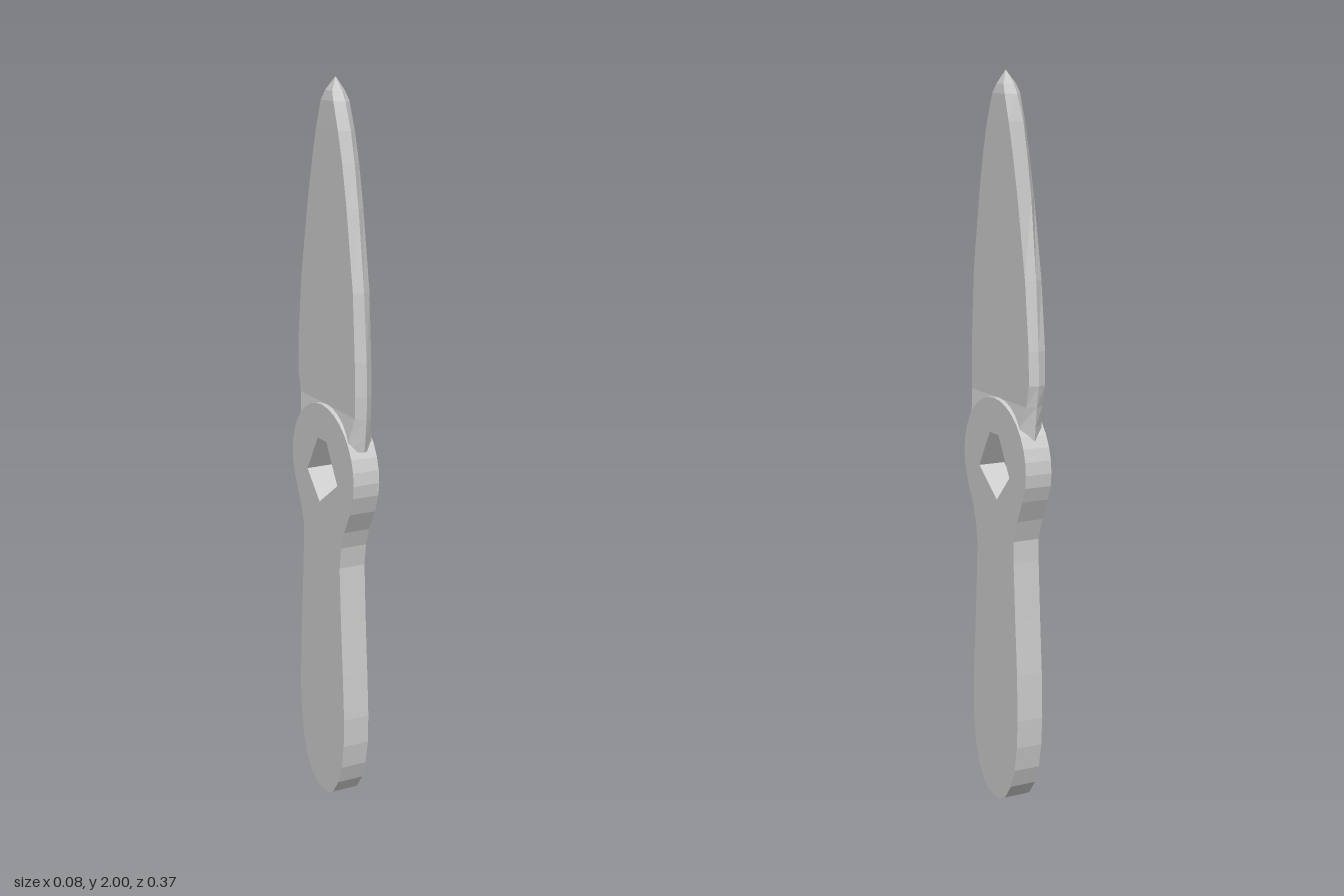
import * as THREE from 'three';

const material = new THREE.MeshStandardMaterial({ color: 0xcccccc, flatShading: true });
const points = (list) => list.map(([u, v]) => new THREE.Vector2(u, v));

// Flat grip with a round eye at its top, pierced by a five-sided hole
function makeHandle() {
  const thickness = 0.076;
  const rightSide = [[0, 0], [0.035, 0.004], [0.065, 0.02], [0.1, 0.065], [0.122, 0.12], [0.135, 0.19],
    [0.14, 0.27], [0.136, 0.4], [0.125, 0.55], [0.115, 0.71], [0.114, 0.77], [0.135, 0.83], [0.165, 0.89], [0.18, 0.93]];
  const leftSide = [[-0.18, 0.93], [-0.163, 0.88], [-0.13, 0.82], [-0.112, 0.77], [-0.104, 0.71], [-0.113, 0.55],
    [-0.124, 0.4], [-0.132, 0.27], [-0.13, 0.19], [-0.118, 0.12], [-0.097, 0.065], [-0.065, 0.02], [-0.035, 0.004]];
  const eye = [];
  for (let i = 0; i <= 16; i++) {
    const a = (i / 16) * Math.PI;
    eye.push([0.184 * Math.cos(a), 0.965 + 0.178 * Math.sin(a)]);
  }
  const shape = new THREE.Shape(points([...rightSide, ...eye, ...leftSide]));
  shape.holes.push(new THREE.Path(points(
    [[-0.026, 1.045], [0.026, 1.045], [0.09, 0.94], [0.016, 0.865], [-0.09, 0.94]])));
  const geometry = new THREE.ExtrudeGeometry(shape, { depth: thickness, bevelEnabled: false });
  geometry.translate(0, 0, -thickness / 2).rotateY(Math.PI / 2);
  return geometry;
}

// Blade lofted from six-sided sections: two flat faces and a sharp edge on each side
function makeBlade() {
  // height, front edge z, back edge z, front bevel, back bevel, half thickness
  const rows = [
    [1.05, 0.172, -0.162, 0.03, 0.03, 0.037],
    [1.09, 0.177, -0.166, 0.028, 0.026, 0.032],
    [1.142, 0.182, -0.172, 0.02, 0.014, 0.024],
    [1.2, 0.184, -0.183, 0.02, 0.01, 0.024],
    [1.29, 0.181, -0.181, 0.02, 0.01, 0.024],
    [1.47, 0.165, -0.166, 0.016, 0.016, 0.024],
    [1.68, 0.133, -0.138, 0.02, 0.03, 0.024],
    [1.79, 0.111, -0.115, 0.022, 0.034, 0.024],
    [1.87, 0.09, -0.094, 0.025, 0.036, 0.024],
    [1.94, 0.06, -0.059, 0.022, 0.026, 0.023],
    [1.965, 0.042, -0.04, 0.02, 0.022, 0.018],
  ];
  const position = [];
  for (const [y, front, back, bevelF, bevelB, t] of rows) {
    position.push(0, y, front, t, y, front - bevelF, t, y, back + bevelB,
      0, y, back, -t, y, back + bevelB, -t, y, front - bevelF);
  }
  const bottom = rows.length * 6, tip = bottom + 1, last = bottom - 6;
  position.push(0, rows[0][0], 0, 0, 2, 0.005);
  const index = [];
  for (let k = 0; k < 6; k++) {
    const n = (k + 1) % 6;
    for (let r = 0; r < rows.length - 1; r++) {
      const a = r * 6 + k, b = r * 6 + n;
      index.push(a, b, b + 6, a, b + 6, a + 6);
    }
    index.push(bottom, n, k, last + k, last + n, tip);
  }
  const geometry = new THREE.BufferGeometry();
  geometry.setAttribute('position', new THREE.Float32BufferAttribute(position, 3));
  geometry.setIndex(index);
  geometry.computeVertexNormals();
  return geometry;
}

export function createModel() {
  const group = new THREE.Group();
  group.name = 'throwingKnife';
  for (const [name, geometry] of [['handle', makeHandle()], ['blade', makeBlade()]]) {
    const mesh = new THREE.Mesh(geometry, material);
    mesh.name = name;
    group.add(mesh);
  }
  return group;
}
